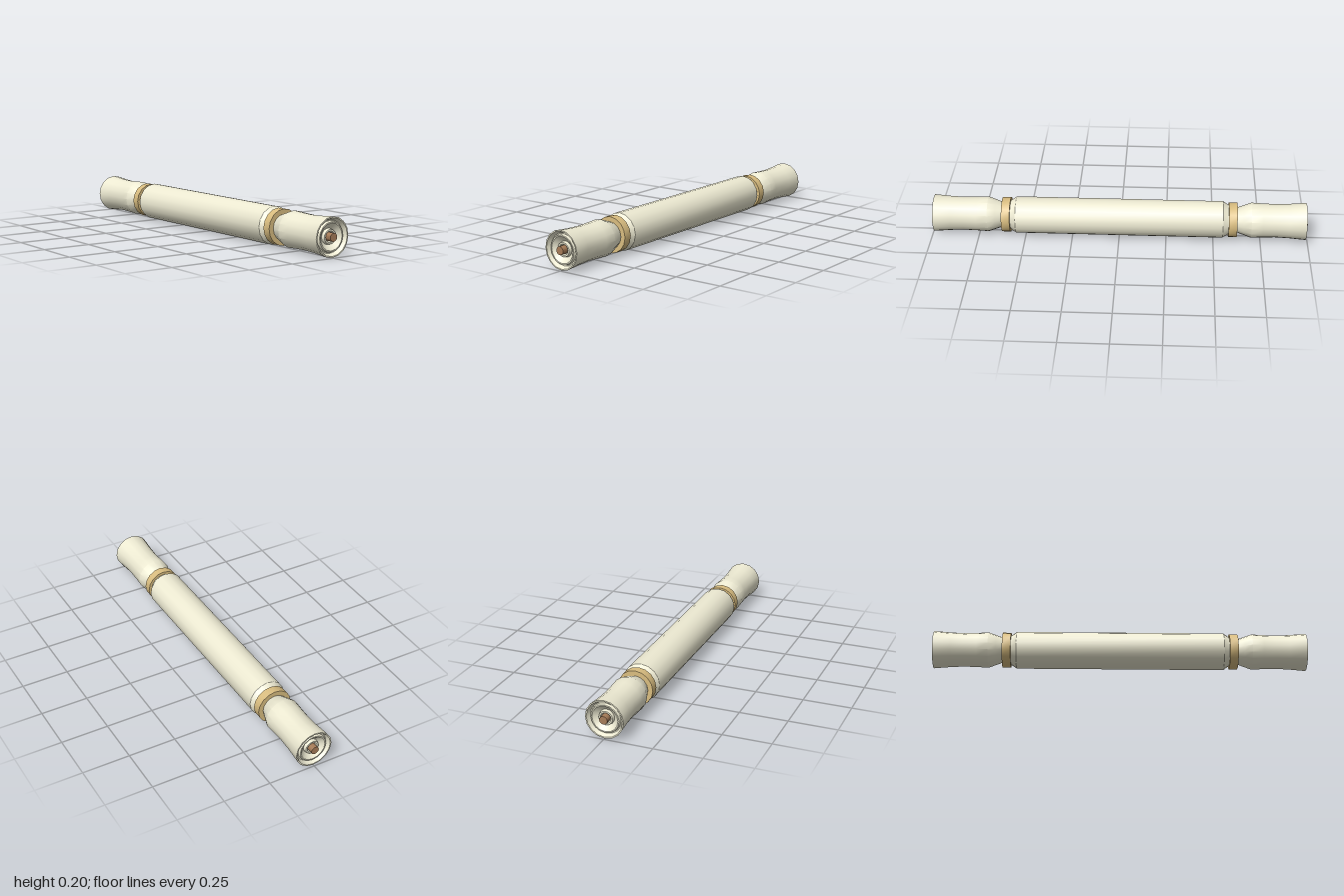
import * as THREE from 'three';
import { toCreasedNormals } from 'three/addons/utils/BufferGeometryUtils.js';

const SIDES = 16;
const RADIUS = 0.0995;

// Turns a [radius, z] profile around the z axis, keeping sharp steps creased
function turned(name, profile, color) {
  const points = profile.map(([r, z]) => new THREE.Vector2(r, z));
  const geometry = new THREE.LatheGeometry(points, SIDES).rotateX(Math.PI / 2);
  const mesh = new THREE.Mesh(
    toCreasedNormals(geometry, 0.5),
    new THREE.MeshStandardMaterial({ color, side: THREE.DoubleSide })
  );
  mesh.name = name;
  return mesh;
}

export function createModel() {
  const model = new THREE.Group();
  model.name = 'rolledStick';
  const cream = 0xeeebd3, tan = 0xd9bd80, brown = 0xa67c58;

  // Outer half, from the middle out to the flared rim
  const half = [
    [0.098, 0.55], [0.074, 0.585], [0.065, 0.62], [0.08, 0.66], [0.094, 0.7],
    [0.091, 0.76], [0.089, 0.83], [0.092, 0.9], [RADIUS, 0.99],
  ];
  const mirrored = half.map(([r, z]) => [r, -z]).reverse();
  model.add(turned('wrapper', [...mirrored, ...half], cream));

  // Recessed, stepped end and core, built for the front and turned for the back
  for (const side of ['front', 'back']) {
    const end = new THREE.Group();
    end.name = side + 'End';
    end.add(turned('foldedEnd', [
      [RADIUS, 0.99], [0.093, 0.99], [0.082, 0.968], [0.077, 0.968],
      [0.073, 0.982], [0.067, 0.982], [0.061, 0.976], [0.04, 0.958],
      [0.036, 0.974], [0.028, 0.974], [0.022, 0.962], [0, 0.962],
    ], cream));
    end.add(turned('core', [[0.021, 0.95], [0.021, 1], [0, 1]], brown));

    // Band tied around the neck
    end.add(turned('band', [
      [0.066, 0.58], [0.093, 0.58], [0.093, 0.625], [0.066, 0.625], [0.066, 0.58],
    ], tan));
    if (side === 'back') end.rotation.y = Math.PI;
    model.add(end);
  }

  model.position.y = RADIUS;
  const root = new THREE.Group();
  root.add(model);
  return root;
}
